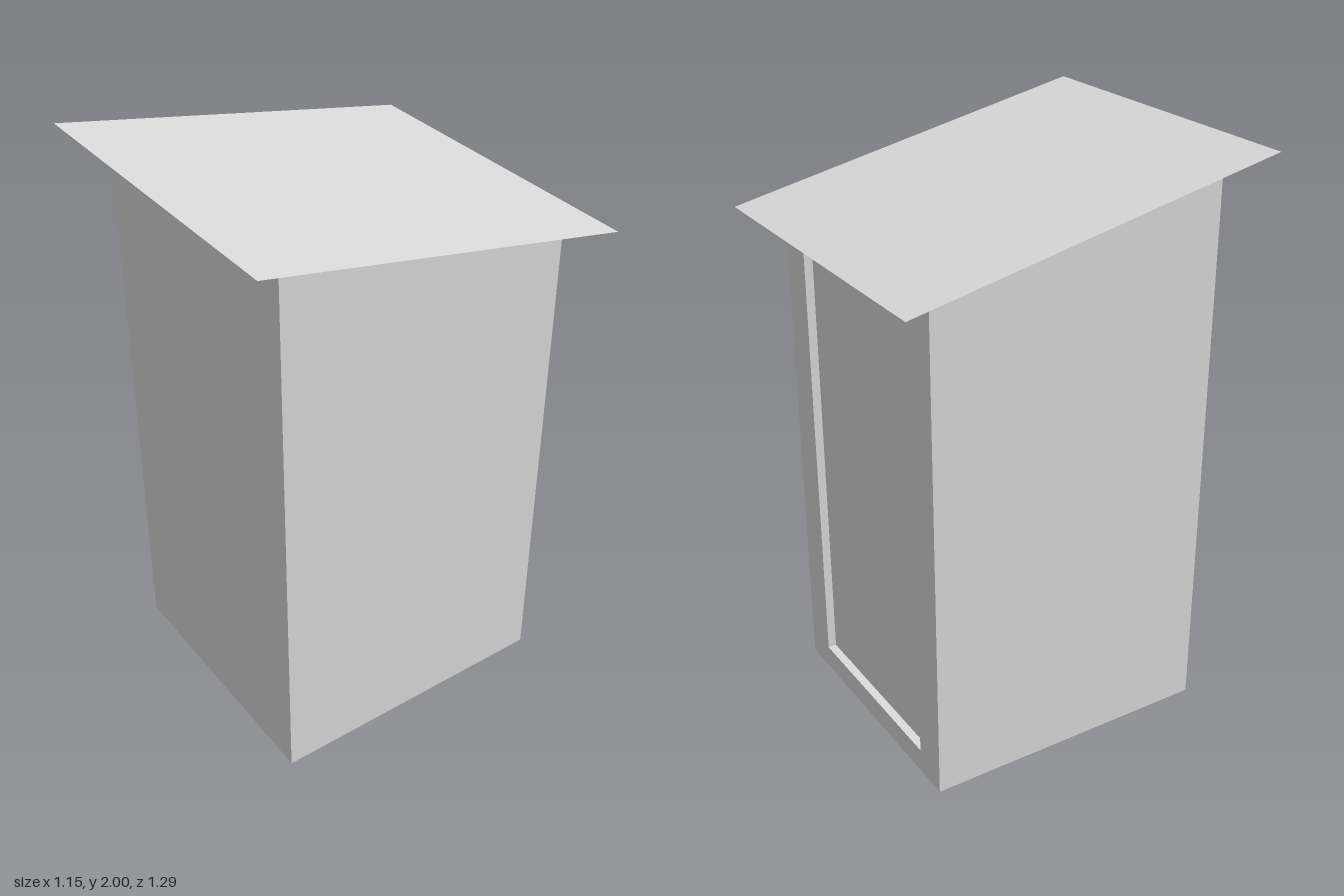
import * as THREE from 'three';

const W = 0.47, D = 0.515;             // half width and half depth of the cabin
const RW = 0.575, RD = 0.645;          // half width and half depth of the roof
const ROOF_HIGH = 2, ROOF_LOW = 1.735; // roof height at its front and back edges
const DOOR = { half: 0.345, bottom: 0.085, top: 1.625, depth: 0.03 };

// Height of the sloping roof sheet at a given z
const roofY = (z) => THREE.MathUtils.mapLinear(z, -RD, RD, ROOF_LOW, ROOF_HIGH);

const polygon = (points) => new THREE.Shape(points.map(([x, y]) => new THREE.Vector2(x, y)));

export function createModel() {
  const group = new THREE.Group();
  const paleGrey = new THREE.MeshStandardMaterial({ color: 0xdcdcdc });
  paleGrey.name = 'paleGrey';
  paleGrey.side = THREE.DoubleSide;

  const add = (name, geometry) => {
    const mesh = new THREE.Mesh(geometry, paleGrey);
    mesh.name = name;
    group.add(mesh);
    return mesh;
  };

  // Front wall: a plain sheet up to the high side of the roof
  const frontTop = roofY(D), backTop = roofY(-D);
  add('frontWall', new THREE.ShapeGeometry(
    polygon([[-W, 0], [W, 0], [W, frontTop], [-W, frontTop]]))).position.z = D;

  // Side walls with sloping tops; shape x runs from front (-D) to back (D)
  for (const [name, side] of [['leftWall', 1], ['rightWall', -1]]) {
    const f = -side * D; // front edge in the rotated shape
    const points = [[f, 0], [-f, 0], [-f, backTop], [f, frontTop]];
    const wall = add(name, new THREE.ShapeGeometry(polygon(points)));
    wall.rotation.y = side * Math.PI / 2;
    wall.position.x = side * W;
  }

  // Back wall with the doorway cut out
  const { half, bottom, top, depth } = DOOR;
  const backShape = polygon([[-W, 0], [W, 0], [W, backTop], [-W, backTop]]);
  backShape.holes.push(new THREE.Path(
    [[-half, bottom], [-half, top], [half, top], [half, bottom]].map(([x, y]) => new THREE.Vector2(x, y))));
  const back = add('backWall', new THREE.ShapeGeometry(backShape));
  back.rotation.y = Math.PI;
  back.position.z = -D;

  // Doorway reveal: the four sides of a shallow box
  const reveal = new THREE.BoxGeometry(2 * half, top - bottom, depth);
  reveal.setIndex(Array.from(reveal.index.array.slice(0, 24)));
  reveal.clearGroups();
  add('doorReveal', reveal).position.set(0, (top + bottom) / 2, -D + depth / 2);

  // Recessed door panel
  const door = add('door', new THREE.PlaneGeometry(2 * half, top - bottom));
  door.rotation.y = Math.PI;
  door.position.set(0, (top + bottom) / 2, -D + depth);

  // Thin overhanging roof sheet, lower at the back
  const roof = new THREE.PlaneGeometry(2 * RW, 2 * RD).rotateX(-Math.PI / 2);
  const p = roof.attributes.position;
  for (let i = 0; i < p.count; i++) p.setY(i, roofY(p.getZ(i)));
  roof.computeVertexNormals();
  add('roof', roof);

  return group;
}
